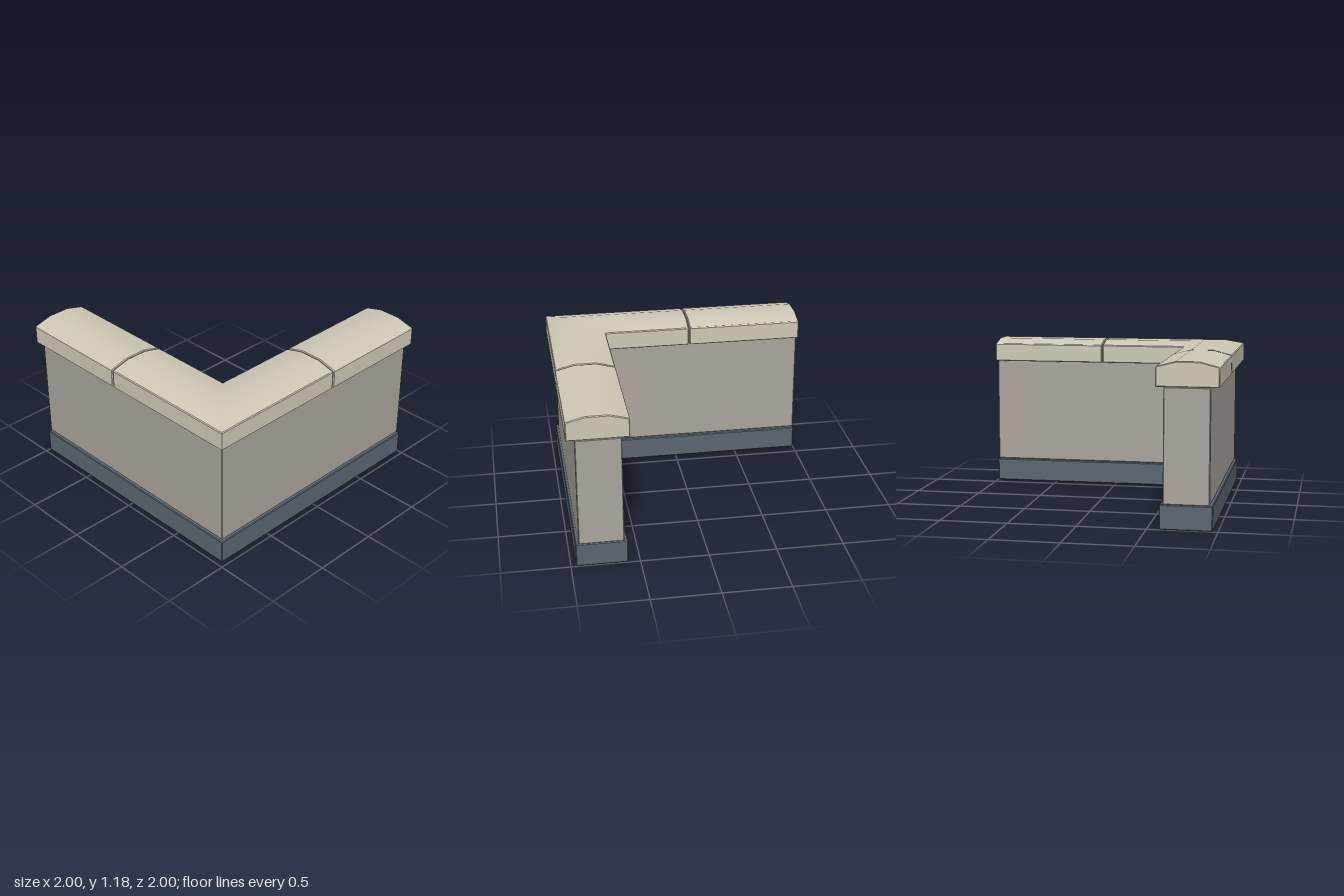
import * as THREE from 'three';
import { toCreasedNormals } from 'three/addons/utils/BufferGeometryUtils.js';

const BEVEL = 0.006;

// L-shaped block with chamfered edges: outer faces at x = -outer and z = outer
function lBlock(outer, inner, y0, y1) {
  const e = 0.997; // where both arms end
  // plan corners as (x, -z), counter-clockwise
  const corners = [[-outer, -outer], [e, -outer], [e, -inner], [-inner, -inner], [-inner, e], [-outer, e]]
    .map(([x, y]) => new THREE.Vector2(x, y));
  const points = [];
  corners.forEach((c, i) => {
    const prev = corners[(i + 5) % 6], next = corners[(i + 1) % 6];
    for (const n of [prev, next]) points.push(n.clone().sub(c).setLength(BEVEL).add(c));
  });
  const geo = new THREE.ExtrudeGeometry(new THREE.Shape(points), {
    depth: y1 - y0 - 2 * BEVEL, bevelEnabled: true, bevelSegments: 1,
    bevelSize: BEVEL, bevelThickness: BEVEL, bevelOffset: -BEVEL,
  });
  geo.rotateX(-Math.PI / 2).translate(0, y0 + BEVEL, 0);
  return geo;
}

// Coping cross-section: t = distance from the outer edge, then height
const PROFILE = [
  [0.005, 1], [0, 1.005], [0, 1.135], [0.006, 1.142], [0.14, 1.177],
  [0.305, 1.177], [0.439, 1.142], [0.445, 1.135], [0.445, 1.005], [0.44, 1],
];
const inset = PROFILE.map(([t, y]) => [
  0.2225 + (t - 0.2225) * (1 - BEVEL / 0.2225),
  1.0885 + (y - 1.0885) * (1 - BEVEL / 0.0885),
]);

// Sections across the front arm, the side arm and the mitred corner
const onFront = (x, p = PROFILE) => p.map(([t, y]) => [x, y, 1 - t]);
const onSide = (z, p = PROFILE) => p.map(([t, y]) => [-1 + t, y, z]);
const mitre = () => PROFILE.map(([t, y]) => [-1 + t, y, 1 - t]);

// Skin a row of sections and close both ends
function loft(sections) {
  const n = PROFILE.length, index = [];
  for (let s = 0; s < sections.length - 1; s++) {
    for (let i = 0; i < n; i++) {
      const a = s * n + i, b = s * n + (i + 1) % n;
      index.push(a, a + n, b, b, a + n, b + n);
    }
  }
  const last = (sections.length - 1) * n;
  for (let i = 1; i < n - 1; i++) {
    index.push(0, i, i + 1, last, last + i + 1, last + i);
  }
  const geo = new THREE.BufferGeometry();
  geo.setAttribute('position', new THREE.Float32BufferAttribute(sections.flat(2), 3));
  geo.setIndex(index);
  return toCreasedNormals(geo, 0.5);
}

// Straight coping stone from a to b along an arm, with bevelled ends
const straight = (on, a, b) => loft([on(a, inset), on(a + BEVEL), on(b - BEVEL), on(b, inset)]);

export function createModel() {
  const group = new THREE.Group();
  const stone = new THREE.MeshStandardMaterial({ color: 0xcfc8b6 });
  const wall = new THREE.MeshStandardMaterial({ color: 0xaaa49c });
  const plinth = new THREE.MeshStandardMaterial({ color: 0x5b6670 });
  const add = (name, geo, mat) => {
    const mesh = new THREE.Mesh(geo, mat);
    mesh.name = name;
    group.add(mesh);
  };

  add('plinth', lBlock(0.962, 0.587, 0, 0.178), plinth);
  add('wall', lBlock(0.94, 0.612, 0.178, 1), wall);

  // Coping: one corner stone and a straight stone on each arm, with narrow open joints
  add('cornerCoping', loft([
    onSide(-0.106, inset), onSide(-0.106 + BEVEL), mitre(), onFront(0.106 - BEVEL), onFront(0.106, inset),
  ]), stone);
  add('frontCoping', straight(onFront, 0.114, 1), stone);
  add('sideCoping', straight(onSide, -1, -0.114), stone);

  return group;
}
